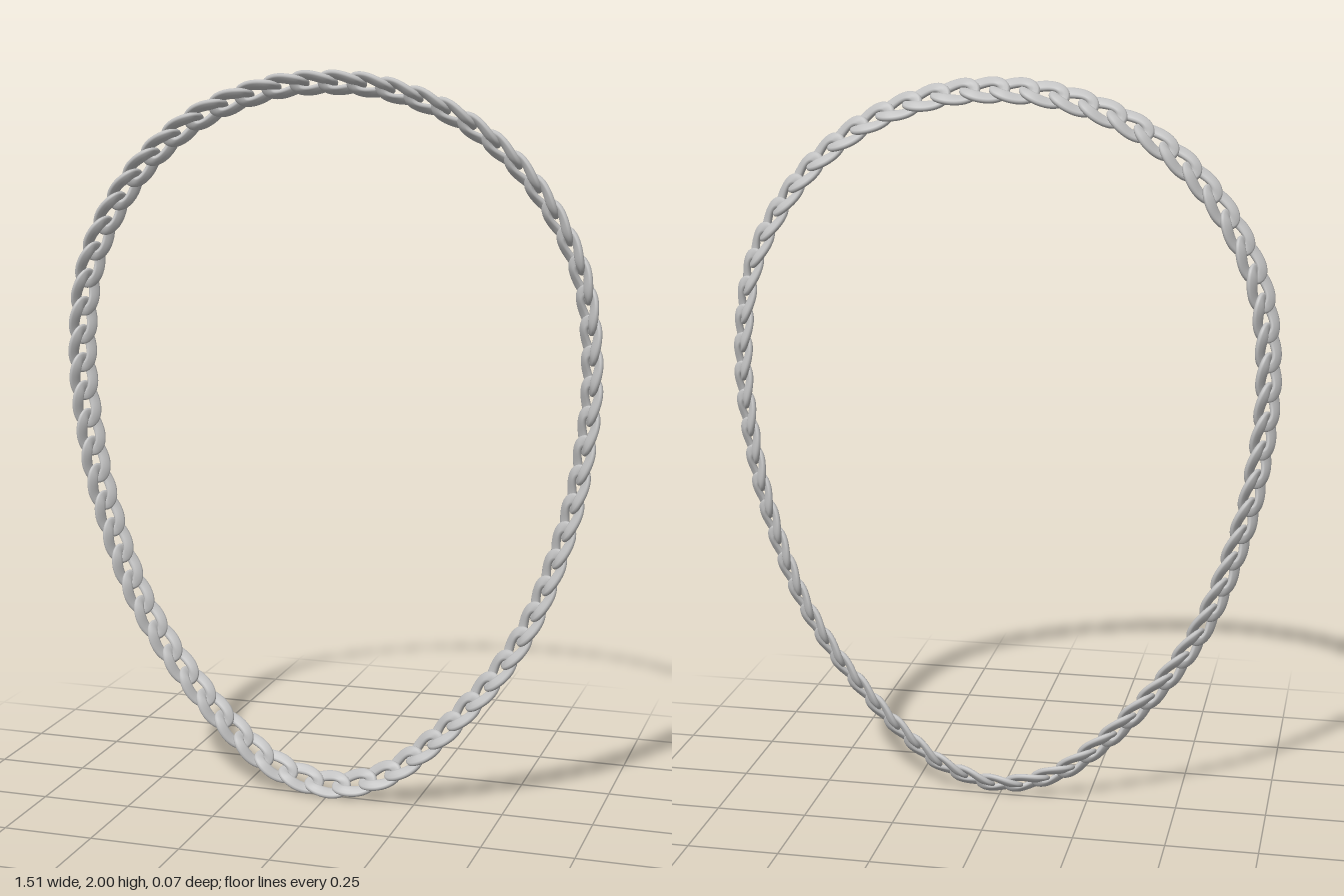
import * as THREE from 'three';
import { mergeVertices } from 'three/addons/utils/BufferGeometryUtils.js';

// Flattened oval curb link, twisted so that neighbours pass over and under
function createLinkGeometry() {
  const ringSides = 48, wireSides = 12;
  const bend = (v) => Math.sign(v) * Math.abs(v) ** 0.7;
  const geometry = new THREE.TorusGeometry(1, 0.5, wireSides, ringSides);
  const position = geometry.attributes.position;
  const uv = geometry.attributes.uv;
  for (let i = 0; i < position.count; i++) {
    const around = uv.getX(i) * Math.PI * 2;
    const section = uv.getY(i) * Math.PI * 2;
    const width = 0.0158 * bend(Math.cos(section));
    const height = 0.008 * bend(Math.sin(section));
    position.setXYZ(
      i,
      (0.052 + width) * Math.cos(around),
      (0.0262 + width) * Math.sin(around),
      0.0068 * Math.sin(2 * around) + height
    );
  }
  geometry.deleteAttribute('uv');
  geometry.deleteAttribute('normal');
  const link = mergeVertices(geometry, 1e-6);
  link.computeVertexNormals();
  return link;
}

export function createModel() {
  const group = new THREE.Group();
  group.name = 'chainNecklace';

  const silver = new THREE.MeshStandardMaterial({ color: 0xc0c0c0 });
  silver.name = 'silver';

  // Egg-shaped loop: one half from bottom to top, then mirrored
  const half = [
    [0.165, 0.077], [0.29, 0.175], [0.39, 0.282], [0.49, 0.41], [0.575, 0.56],
    [0.655, 0.785], [0.695, 0.96], [0.72, 1.22], [0.683, 1.49],
    [0.55, 1.72], [0.37, 1.872], [0.165, 1.952],
  ];
  const points = [
    [0, 0.032], ...half, [0, 1.969],
    ...half.map(([x, y]) => [-x, y]).reverse(),
  ].map(([x, y]) => new THREE.Vector3(x, y, 0));
  const loop = new THREE.CatmullRomCurve3(points, true, 'centripetal');
  loop.arcLengthDivisions = 1000;

  // Identical interlocking links, the band leaning outward towards the front
  const linkGeometry = createLinkGeometry();
  const count = 67;
  const front = new THREE.Vector3(0, 0, 1);
  const basis = new THREE.Matrix4();
  for (let i = 0; i < count; i++) {
    const along = loop.getTangentAt(i / count);
    const across = new THREE.Vector3(along.y, -along.x, 0).add(front).normalize();
    const normal = new THREE.Vector3().crossVectors(along, across);
    const link = new THREE.Mesh(linkGeometry, silver);
    link.name = `link${i + 1}`;
    link.position.copy(loop.getPointAt(i / count));
    link.quaternion.setFromRotationMatrix(basis.makeBasis(along, across, normal));
    group.add(link);
  }
  return group;
}
